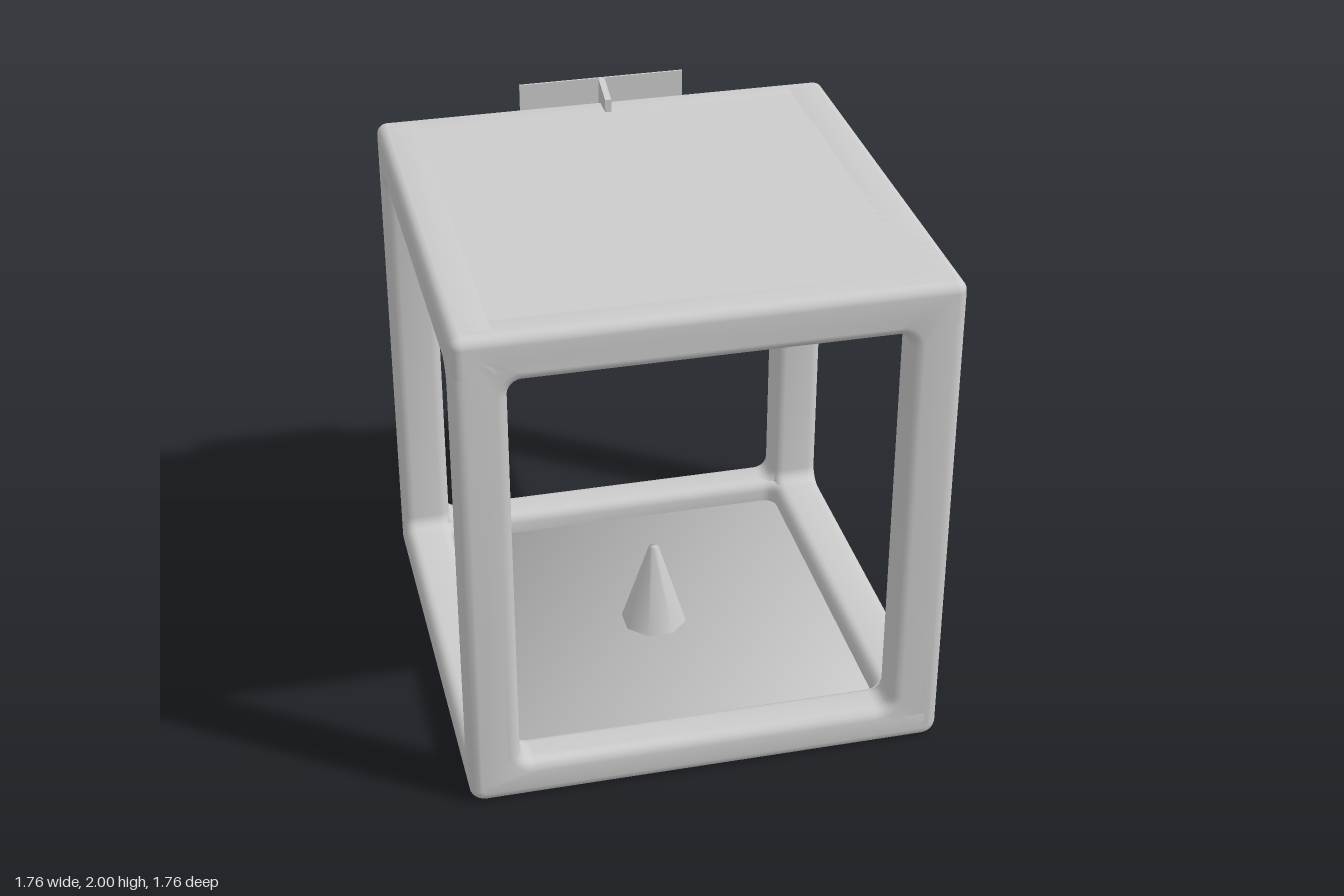
import * as THREE from 'three';
import { toCreasedNormals } from 'three/addons/utils/BufferGeometryUtils.js';
import { RoundedBoxGeometry } from 'three/addons/geometries/RoundedBoxGeometry.js';

const H = 0.878; // half width of the cage
const TOP = 1.91;
const ROUND = 0.04;

// Corner points of a rounded rectangle, counter-clockwise, without a repeated end point
function roundedRect(halfW, y0, y1, r) {
  const points = [];
  const corners = [[1, y0 + r], [1, y1 - r], [-1, y1 - r], [-1, y0 + r]];
  corners.forEach(([side, cy], i) => {
    for (let k = 0; k <= 5; k++) {
      const a = (i - 1 + k / 5) * Math.PI / 2;
      points.push(new THREE.Vector2(side * (halfW - r) + r * Math.cos(a), cy + r * Math.sin(a)));
    }
  });
  return points;
}

// Rounded frame around a filleted opening, its near face at z = H
function frame([y0, y1], holeHalf, [holeY0, holeY1], depth) {
  const shape = new THREE.Shape(roundedRect(H, y0, y1, 0.055));
  shape.holes.push(new THREE.Path(roundedRect(holeHalf, holeY0, holeY1, 0.05)));
  const geo = new THREE.ExtrudeGeometry(shape, {
    depth: depth - 2 * ROUND,
    bevelThickness: ROUND, bevelSize: ROUND, bevelOffset: -ROUND, bevelSegments: 4,
  });
  geo.translate(0, 0, H - depth + ROUND);
  return toCreasedNormals(geo, 0.7);
}

// Thin panel whose shading blends evenly across all its edges
function softPanel(half, thickness) {
  const geo = new THREE.BoxGeometry(2 * half, thickness, 2 * half);
  const p = geo.attributes.position;
  const n = new THREE.Vector3();
  for (let i = 0; i < p.count; i++) {
    n.set(Math.sign(p.getX(i)), Math.sign(p.getY(i)), Math.sign(p.getZ(i))).normalize();
    geo.attributes.normal.setXYZ(i, n.x, n.y, n.z);
  }
  return geo;
}

// Eight-sided spike with a flat side to the front, from [radius, y] pairs
function spike(profile) {
  const points = profile.map(([r, y]) => new THREE.Vector2(r / Math.cos(Math.PI / 8), y));
  return new THREE.LatheGeometry(points, 8, Math.PI / 8);
}

export function createModel() {
  const model = new THREE.Group();
  const material = new THREE.MeshStandardMaterial({ color: 0xcccccc });
  const add = (name, geo, x = 0, y = 0, z = 0) => {
    const mesh = new THREE.Mesh(geo, material);
    mesh.name = name;
    mesh.position.set(x, y, z);
    model.add(mesh);
    return mesh;
  };

  // Cage sides
  ['frontFrame', 'leftFrame', 'backFrame', 'rightFrame'].forEach((name, i) => {
    const [holeHalf, depth] = i % 2 ? [0.722, 0.185] : [0.692, 0.155];
    add(name, frame([0, TOP], holeHalf, [0.15, 1.73], depth)).rotation.y = i * Math.PI / 2;
  });

  // Bottom ring, laid flat
  const ring = frame([-H, H], 0.692, [-0.715, 0.715], 0.15);
  add('bottomRing', ring.rotateX(Math.PI / 2), 0, H, 0);

  // Solid roof, with a thin panel below it, and a recessed floor
  add('roof', new RoundedBoxGeometry(2 * H, TOP - 1.73, 2 * H, 4, ROUND), 0, (TOP + 1.73) / 2, 0);
  add('ceilingPanel', softPanel(0.655, 0.03), 0, 1.725, 0);
  add('floorPanel', softPanel(0.73, 0.045), 0, 0.043, 0);

  // Spikes facing each other
  add('upperSpike', spike([[0, 1.455], [0.016, 1.455], [0.105, 1.665], [0.11, 1.69], [0.11, 1.73]]));
  add('lowerSpike', spike([[0.123, 0.05], [0.018, 0.405], [0, 0.405]]));

  // Back plate and the fin that holds it
  add('backPlate', new THREE.BoxGeometry(0.64, 0.34, 0.008), 0, 1.83, -H - 0.002);
  const fin = new THREE.Shape([[0.88, 1.66], [0.88, 2], [0.755, 1.96], [0.755, 1.7]]
    .map(([z, y]) => new THREE.Vector2(z, y)));
  const finGeo = new THREE.ExtrudeGeometry(fin, { depth: 0.024, bevelEnabled: false });
  finGeo.translate(0, 0, -0.012).rotateY(Math.PI / 2);
  add('plateFin', finGeo);

  return model;
}
